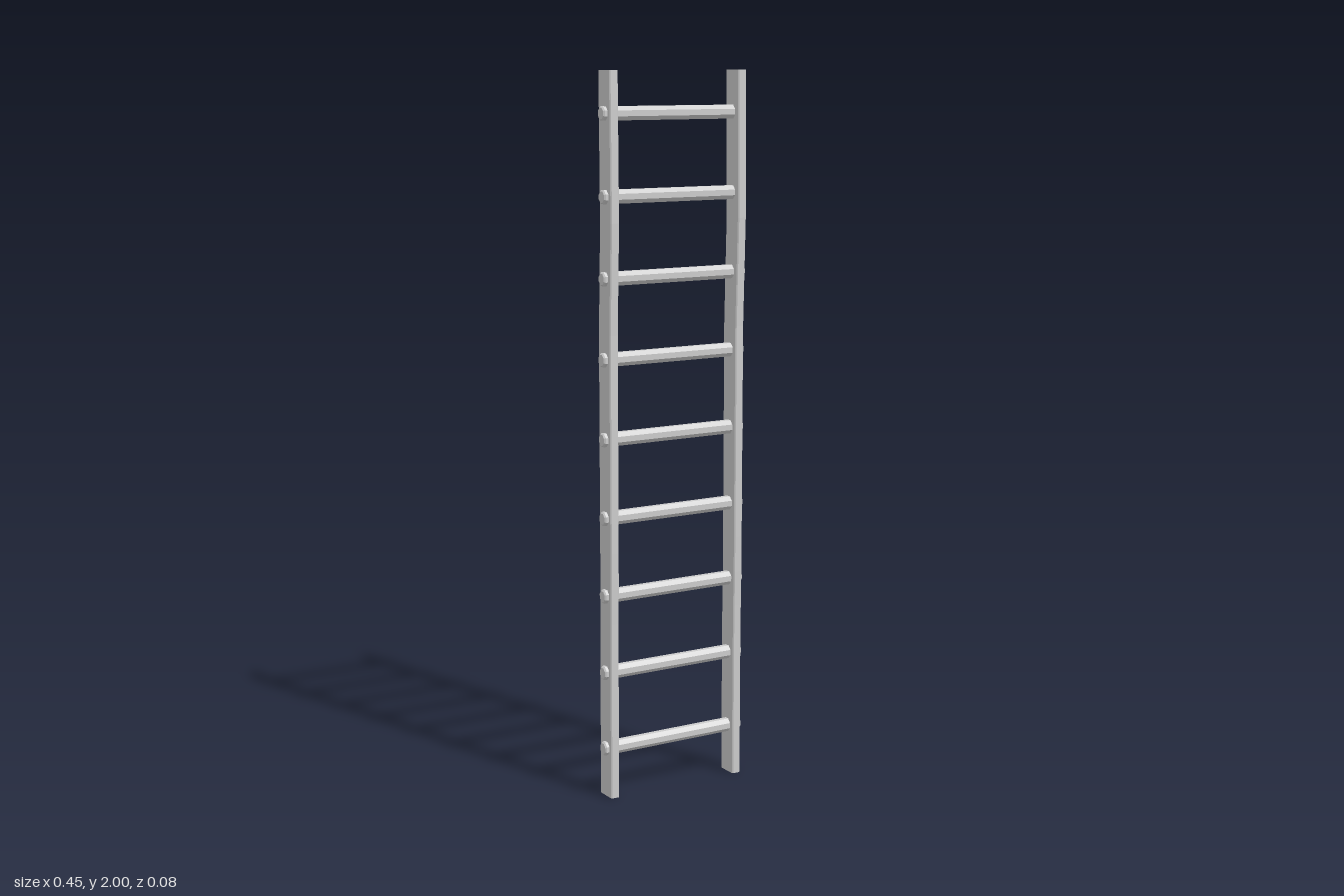
import * as THREE from 'three';

const HEIGHT = 2;
const RAIL_X = 0.2;
const RUNGS = 9;

// Slight bow of the timber: [height, z offset]
const bow = [[0, -0.005], [0.45, -0.004], [0.62, -0.001], [1.3, 0], [1.6, 0.01], [2, 0.006]];

function bowAt(y) {
  for (let i = 1; i < bow.length; i++) {
    const [y0, z0] = bow[i - 1];
    const [y1, z1] = bow[i];
    if (y <= y1) return THREE.MathUtils.lerp(z0, z1, (y - y0) / (y1 - y0));
  }
  return bow[bow.length - 1][1];
}

// Chamfered plank extruded upward, then bent along the bow
function railGeometry() {
  const w = 0.013, d = 0.0315, c = 0.003;
  const section = new THREE.Shape([
    [w, -d + c], [w, d - c], [w - c, d], [-w + c, d],
    [-w, d - c], [-w, -d + c], [-w + c, -d], [w - c, -d],
  ].map(([x, y]) => new THREE.Vector2(x, y)));
  const geo = new THREE.ExtrudeGeometry(section, { depth: HEIGHT, steps: 20, bevelEnabled: false });
  geo.rotateX(-Math.PI / 2);
  const pos = geo.attributes.position;
  for (let i = 0; i < pos.count; i++) pos.setZ(i, pos.getZ(i) + bowAt(pos.getY(i)));
  geo.computeVertexNormals();
  return geo;
}

// Eight-sided bar with chamfered ends, lying along x
function rungGeometry() {
  const r = 0.0202, l = 0.225, c = 0.004;
  const profile = [[0, -l], [r - c, -l], [r, -l + c], [r, l - c], [r - c, l], [0, l]]
    .map(([x, y]) => new THREE.Vector2(x, y));
  const geo = new THREE.LatheGeometry(profile, 8, Math.PI / 8);
  geo.rotateZ(Math.PI / 2);
  geo.scale(1, 1, 0.92);
  return geo;
}

export function createModel() {
  const group = new THREE.Group();
  group.name = 'ladder';
  const material = new THREE.MeshStandardMaterial({ color: 0xcccccc, flatShading: true });

  // Side rails
  const railGeo = railGeometry();
  for (const [name, side] of [['leftRail', 1], ['rightRail', -1]]) {
    const rail = new THREE.Mesh(railGeo, material);
    rail.name = name;
    rail.position.x = side * RAIL_X;
    group.add(rail);
  }

  // Rungs, passing through both rails and slightly askew
  const rungGeo = rungGeometry();
  for (let i = 0; i < RUNGS; i++) {
    const y = 0.14 + i * 0.2184;
    const rung = new THREE.Mesh(rungGeo, material);
    rung.name = `rung${i + 1}`;
    rung.position.set(0, y, bowAt(y) * 0.8 + 0.001);
    rung.rotation.y = 0.01;
    group.add(rung);
  }
  return group;
}
